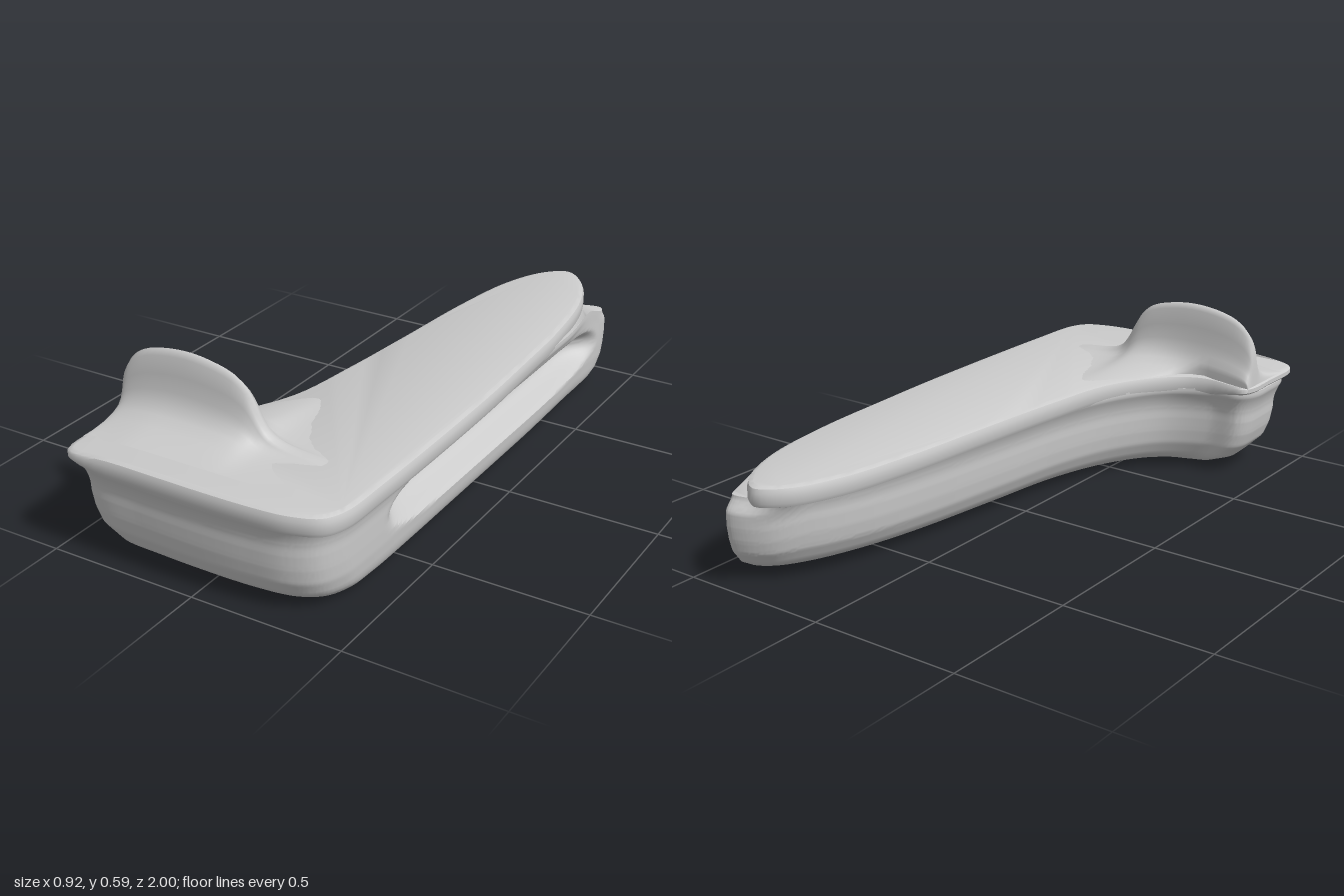
import * as THREE from 'three';
import { toCreasedNormals } from 'three/addons/utils/BufferGeometryUtils.js';

const { smoothstep, lerp, clamp } = THREE.MathUtils;

// Smooth closed plan outline from [x, z] points
function outline(pts, n) {
  const curve = new THREE.CatmullRomCurve3(pts.map(([x, z]) => new THREE.Vector3(x, 0, z)), true, 'centripetal');
  return curve.getPoints(n).slice(0, n);
}

// Moves an outline inwards by d
function inset(ring, d, y) {
  const n = ring.length;
  return ring.map((p, i) => {
    const a = ring[(i + n - 1) % n], b = ring[(i + 1) % n];
    const dx = b.x - a.x, dz = b.z - a.z, l = Math.hypot(dx, dz) || 1;
    return new THREE.Vector3(p.x + (dz / l) * d, y, p.z - (dx / l) * d);
  });
}

// Skin over rings listed from bottom to top, capped at both ends
function loft(rings) {
  const n = rings[0].length, pos = [], idx = [];
  rings.forEach((r) => r.forEach((p) => pos.push(p.x, p.y, p.z)));
  for (let i = 0; i < rings.length - 1; i++) {
    for (let j = 0; j < n; j++) {
      const a = i * n + j, b = i * n + ((j + 1) % n);
      idx.push(a, b, b + n, a, b + n, a + n);
    }
  }
  const cap = (ring, start, flip) => {
    const flat = ring.map((p) => new THREE.Vector2(p.x, -p.z));
    THREE.ShapeUtils.triangulateShape(flat, []).forEach(([a, b, c]) =>
      idx.push(start + a, start + (flip ? c : b), start + (flip ? b : c)));
  };
  cap(rings[0], 0, true);
  cap(rings[rings.length - 1], (rings.length - 1) * n, false);
  const g = new THREE.BufferGeometry();
  g.setAttribute('position', new THREE.Float32BufferAttribute(pos, 3));
  g.setIndex(idx);
  return toCreasedNormals(g, 0.7);
}

// The rim thins out towards the outer end of the short leg
const thin = (x, y) => lerp(y, 0.33, 0.55 * smoothstep(-x, 0.27, 0.456));

// Top plate with a rounded rim
function plateGeometry() {
  const ring = outline([
    [0.455, 0.7], [0.455, 0.1], [0.443, -0.2], [0.425, -0.5], [0.38, -0.77], [0.305, -0.935],
    [0.225, -1], [0.145, -0.945], [0.075, -0.79], [0.03, -0.53], [0, -0.2], [-0.03, 0.1],
    [-0.07, 0.36], [-0.15, 0.52], [-0.23, 0.6], [-0.31, 0.632], [-0.435, 0.645], [-0.456, 0.68],
    [-0.458, 0.8], [-0.452, 0.96], [-0.42, 0.987], [-0.2, 0.995], [0.2, 0.995], [0.33, 0.98],
    [0.41, 0.945], [0.445, 0.88],
  ], 156);
  const levels = [[0.02, 0.288], [0.006, 0.294], [0, 0.307], [0, 0.338], [0.005, 0.351], [0.018, 0.357]];
  const rings = levels.map(([d, y]) => inset(ring, d, y));
  rings.flat().forEach((p) => { p.y = thin(p.x, p.y); });
  return loft(rings);
}

// Body below the plate, rounded to a smaller base, with a long pocket in its +x side
function bodyGeometry() {
  // [x, z] at mid height, then [x, z] at the base
  const pts = [
    [0.405, 0.72, 0.36, 0.58], [0.405, 0.45, 0.365, 0.38], [0.405, 0.15, 0.365, 0.15],
    [0.405, -0.15, 0.365, -0.1], [0.405, -0.45, 0.365, -0.38], [0.405, -0.75, 0.365, -0.62],
    [0.405, -0.92, 0.365, -0.75], [0.388, -0.955, 0.36, -0.78], [0.335, -0.95, 0.35, -0.77],
    [0.255, -0.905, 0.335, -0.73], [0.185, -0.81, 0.315, -0.65], [0.125, -0.65, 0.285, -0.5],
    [0.075, -0.35, 0.24, -0.27], [0.035, -0.05, 0.2, 0], [-0.005, 0.22, 0.165, 0.26],
    [-0.07, 0.43, 0.1, 0.48], [-0.17, 0.585, 0.02, 0.63], [-0.3, 0.66, -0.05, 0.71],
    [-0.4, 0.68, -0.09, 0.735], [-0.428, 0.72, -0.1, 0.75], [-0.431, 0.81, -0.1, 0.77],
    [-0.422, 0.9, -0.09, 0.79], [-0.385, 0.945, -0.07, 0.8], [-0.2, 0.963, -0.01, 0.805],
    [0.15, 0.963, 0.14, 0.8], [0.29, 0.943, 0.26, 0.775], [0.36, 0.9, 0.32, 0.73],
    [0.396, 0.825, 0.35, 0.66],
  ];
  const n = pts.length * 13;
  const mid = outline(pts.map((p) => [p[0], p[1]]), n);
  const base = outline(pts.map((p) => [p[2], p[3]]), n);
  const neck = inset(mid, -0.025, 0);
  const profile = [[0, 1], [0.008, 0.7], [0.025, 0.42], [0.05, 0.23], [0.1, 0.08], [0.15, 0.025], [0.2, 0], [0.32, 0]];
  const blend = (y) => {
    const k = Math.max(1, profile.findIndex((p) => p[0] >= y));
    const [a, b] = [profile[k - 1], profile[k]];
    return lerp(a[1], b[1], (y - a[0]) / (b[0] - a[0]));
  };
  const ys = [0, 0.003, 0.008, 0.016, 0.025, 0.037, 0.05, 0.065];
  for (let i = 0; i <= 29; i++) ys.push(0.08 + i * 0.008);
  const rings = ys.map((y) => mid.map((m, j) => {
    const t = blend(y);
    // neck flares out under the rim, except at the exposed back corner
    const end = smoothstep(-m.z, 0.55, 0.85) * smoothstep(m.x, 0.2, 0.33);
    const flare = clamp((y - 0.21) / 0.085, 0, 1) ** 2 * (1 - end);
    let x = lerp(lerp(m.x, base[j].x, t), neck[j].x, flare);
    let z = lerp(lerp(m.z, base[j].z, t), neck[j].z, flare);
    // pocket: a long rounded hollow that shallows towards its ends
    const u = (z + 0.13) / 0.73, v = (y - 0.175) / 0.088;
    x -= 0.095 * smoothstep(1 - v * v - u ** 6, 0, 1) * smoothstep(m.x, 0.38, 0.4);
    // the back end sits lower than the plate, rounds over and lifts off the ground
    const drop = 1 - 0.13 * smoothstep(-z, 0.8, 0.95);
    const lift = 0.012 * smoothstep(-z, 0.3, 0.85) * (1 - y / 0.312);
    z += 0.03 * end * smoothstep(y, 0.25, 0.312);
    return new THREE.Vector3(x, y * drop + lift, z);
  }));
  return loft(rings);
}

// Upright fin that sweeps down into the plate
function finGeometry() {
  const crest = new THREE.CatmullRomCurve3([
    [-0.456, 0.335], [-0.452, 0.42], [-0.443, 0.48], [-0.42, 0.525], [-0.375, 0.56], [-0.3, 0.582],
    [-0.21, 0.59], [-0.13, 0.582], [-0.05, 0.56], [-0.005, 0.525], [0.02, 0.485], [0.045, 0.435],
    [0.075, 0.397], [0.13, 0.374], [0.22, 0.362], [0.3, 0.352],
  ].map(([x, y]) => new THREE.Vector3(x, y, 0)), false, 'centripetal').getPoints(45);
  // [distance from crest, share of height]; the foot is stretched on each side
  const side = [[1, 0], [0.8, 0.045], [0.55, 0.11], [0.36, 0.2], [0.23, 0.31], [0.16, 0.47], [0.115, 0.68], [0.08, 0.92]];
  const pos = [], idx = [];
  const cols = side.length * 2 + 1;
  crest.forEach(({ x, y }, i) => {
    const back = lerp(0.046, 0.48, smoothstep(x, -0.28, 0.12));
    const floor = thin(x, 0.353);
    const put = (dz, f) => pos.push(x, lerp(floor, Math.max(y, floor), f), 0.69 + dz);
    side.forEach(([d, f]) => put(d * 0.2, f));
    put(0, 1);
    side.slice().reverse().forEach(([d, f]) => put(-Math.min(back, d * lerp(0.17, back, d)), f));
    if (i === 0) return;
    for (let j = 0; j < cols - 1; j++) {
      const a = (i - 1) * cols + j, b = i * cols + j;
      idx.push(a, b, b + 1, a, b + 1, a + 1);
    }
  });
  const g = new THREE.BufferGeometry();
  g.setAttribute('position', new THREE.Float32BufferAttribute(pos, 3));
  g.setIndex(idx);
  g.computeVertexNormals();
  return g;
}

export function createModel() {
  const group = new THREE.Group();
  const add = (name, geometry, side = THREE.FrontSide) => {
    const mesh = new THREE.Mesh(geometry, new THREE.MeshStandardMaterial({ color: 0xcccccc, side }));
    mesh.name = name;
    group.add(mesh);
  };
  add('topPlate', plateGeometry());
  add('body', bodyGeometry());
  add('fin', finGeometry(), THREE.DoubleSide);
  return group;
}
